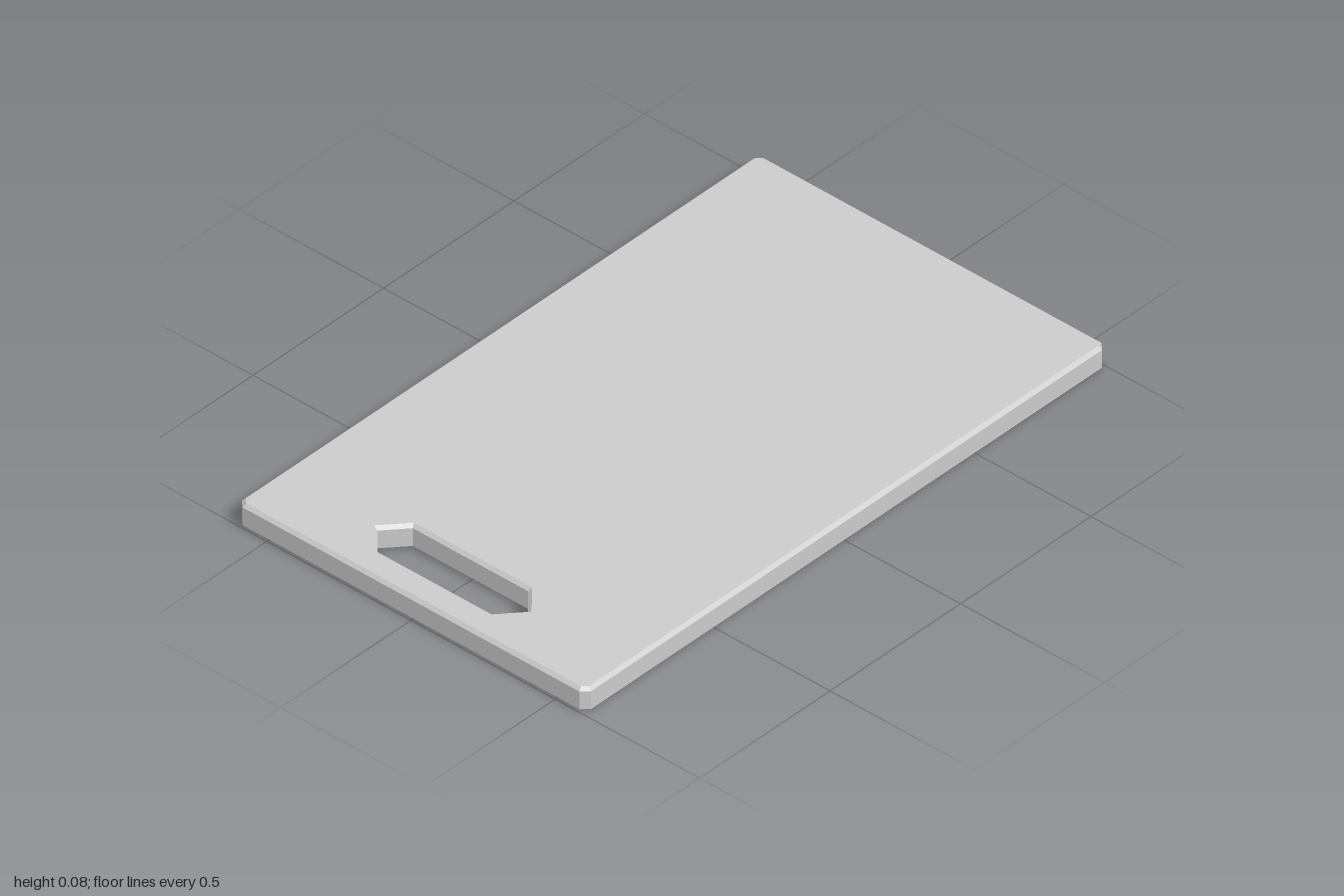
import * as THREE from 'three';

const WIDTH = 1.21, LENGTH = 2, THICKNESS = 0.077;
const CORNER = 0.021, BEVEL = 0.01;

const points = (list) => list.map(([x, y]) => new THREE.Vector2(x, y));

export function createModel() {
  const group = new THREE.Group();
  group.name = 'cuttingBoard';

  // Rectangular outline with clipped corners
  const w = WIDTH / 2, l = LENGTH / 2, c = CORNER;
  const outline = new THREE.Shape(points([
    [w - c, -l], [w, -l + c], [w, l - c], [w - c, l],
    [-w + c, l], [-w, l - c], [-w, -l + c], [-w + c, -l],
  ]));

  // Long hexagonal grip slot near the front edge
  const slotZ = 0.84, slotHalf = 0.068, flat = 0.2, tip = 0.26;
  outline.holes.push(new THREE.Path(points([
    [-tip, -slotZ], [-flat, -slotZ + slotHalf], [flat, -slotZ + slotHalf],
    [tip, -slotZ], [flat, -slotZ - slotHalf], [-flat, -slotZ - slotHalf],
  ])));

  // Board with a single chamfer around the rim and the slot
  const geometry = new THREE.ExtrudeGeometry(outline, {
    depth: THICKNESS - 2 * BEVEL,
    bevelEnabled: true,
    bevelThickness: BEVEL,
    bevelSize: BEVEL,
    bevelOffset: -BEVEL,
    bevelSegments: 1,
  });
  geometry.rotateX(-Math.PI / 2);
  geometry.translate(0, BEVEL, 0);

  const board = new THREE.Mesh(geometry, new THREE.MeshStandardMaterial({ color: 0xcccccc }));
  board.name = 'board';
  group.add(board);
  return group;
}
